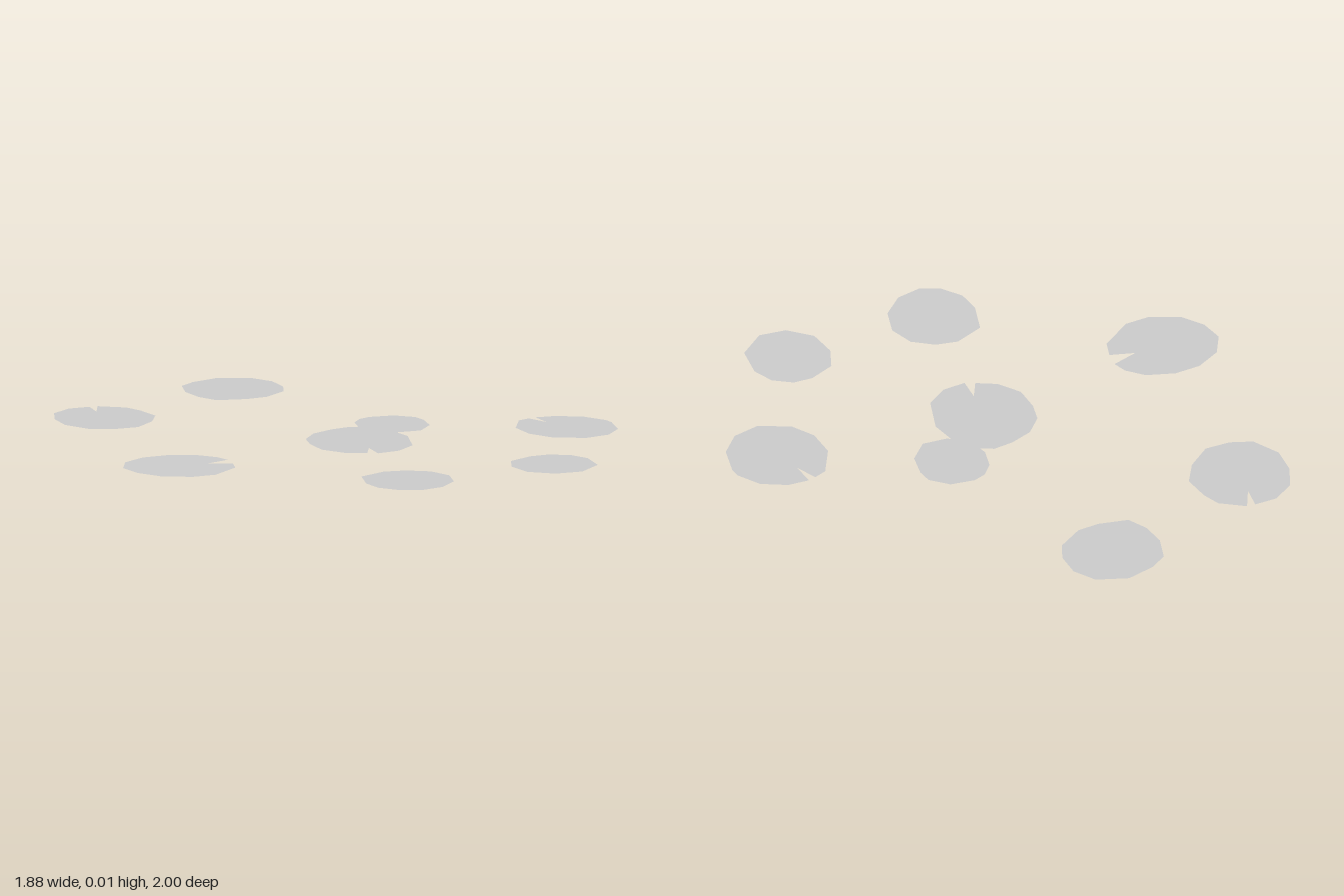
import * as THREE from 'three';

const material = new THREE.MeshStandardMaterial({ color: 0xcccccc, side: THREE.DoubleSide });

// One thin floating leaf: outline in (x, z), resting height and slight slopes along x and z
function makePad(name, height, slopeX, slopeZ, outline) {
  const shape = new THREE.Shape(outline.map(([x, z]) => new THREE.Vector2(x, -z)));
  const geometry = new THREE.ShapeGeometry(shape).rotateX(-Math.PI / 2);
  geometry.computeBoundingBox();
  const c = geometry.boundingBox.getCenter(new THREE.Vector3());
  geometry.translate(-c.x, 0, -c.z);
  const p = geometry.attributes.position;
  for (let i = 0; i < p.count; i++) p.setY(i, slopeX * p.getX(i) + slopeZ * p.getZ(i));
  geometry.computeVertexNormals();
  const pad = new THREE.Mesh(geometry, material);
  pad.name = name;
  pad.position.set(c.x, height, c.z);
  return pad;
}

export function createModel() {
  const group = new THREE.Group();
  group.name = 'lilyPads';

  // Notched pads
  group.add(makePad('backRightNotchedPad', 0.012, -0.012, 0.006, [
    [-0.49, -0.95], [-0.41, -0.93], [-0.44, -0.85], [-0.38, -0.92], [-0.31, -0.84],
    [-0.3, -0.77], [-0.31, -0.67], [-0.38, -0.6], [-0.48, -0.555], [-0.57, -0.58],
    [-0.64, -0.63], [-0.67, -0.74], [-0.64, -0.84], [-0.58, -0.92]]));
  group.add(makePad('rightNotchedPad', 0.015, -0.012, -0.006, [
    [-0.775, -0.15], [-0.68, -0.13], [-0.59, -0.07], [-0.55, 0], [-0.545, 0.055],
    [-0.645, 0.06], [-0.565, 0.11], [-0.6, 0.17], [-0.73, 0.22], [-0.82, 0.2],
    [-0.91, 0.125], [-0.945, 0.035], [-0.94, -0.055], [-0.875, -0.125]]));
  group.add(makePad('centreNotchedPad', 0.013, 0.006, -0.006, [
    [0.045, -0.09], [0.12, -0.08], [0.16, -0.045], [0.205, 0.05], [0.2, 0.16],
    [0.125, 0.285], [0.035, 0.32], [-0.05, 0.305], [-0.025, 0.22], [-0.08, 0.28],
    [-0.14, 0.225], [-0.175, 0.135], [-0.155, 0.04], [-0.12, -0.03], [-0.045, -0.08]]));
  group.add(makePad('leftNotchedPad', 0.009, -0.012, 0, [
    [0.68, 0.2], [0.73, 0.195], [0.745, 0.28], [0.76, 0.195], [0.835, 0.22],
    [0.91, 0.29], [0.94, 0.38], [0.935, 0.42], [0.885, 0.52], [0.8, 0.575],
    [0.7, 0.57], [0.605, 0.49], [0.575, 0.395], [0.595, 0.29]]));

  // Whole pads
  group.add(makePad('backPad', 0.012, -0.006, -0.004, [
    [0.12, -1], [0.23, -1], [0.33, -0.93], [0.36, -0.84], [0.34, -0.75], [0.295, -0.69],
    [0.19, -0.655], [0.11, -0.67], [0.01, -0.72], [-0.01, -0.8], [0, -0.89], [0.05, -0.975]]));
  group.add(makePad('smallCentrePad', 0.01, -0.003, 0.005, [
    [0.29, -0.18], [0.375, -0.145], [0.42, -0.075], [0.415, -0.02], [0.38, 0.06], [0.3, 0.11],
    [0.21, 0.08], [0.155, 0], [0.155, -0.07], [0.19, -0.14], [0.24, -0.175]]));
  group.add(makePad('frontRightPad', 0.007, -0.006, 0.014, [
    [-0.195, 0.525], [-0.12, 0.56], [-0.06, 0.63], [-0.05, 0.725], [-0.1, 0.815], [-0.19, 0.865],
    [-0.285, 0.86], [-0.345, 0.81], [-0.38, 0.73], [-0.37, 0.645], [-0.31, 0.54]]));
  group.add(makePad('frontLeftPad', 0.011, 0.004, 0.012, [
    [0.36, 0.675], [0.43, 0.695], [0.485, 0.755], [0.5, 0.835], [0.46, 0.945],
    [0.35, 0.995], [0.255, 0.96], [0.195, 0.87], [0.205, 0.765], [0.26, 0.69]]));

  return group;
}
